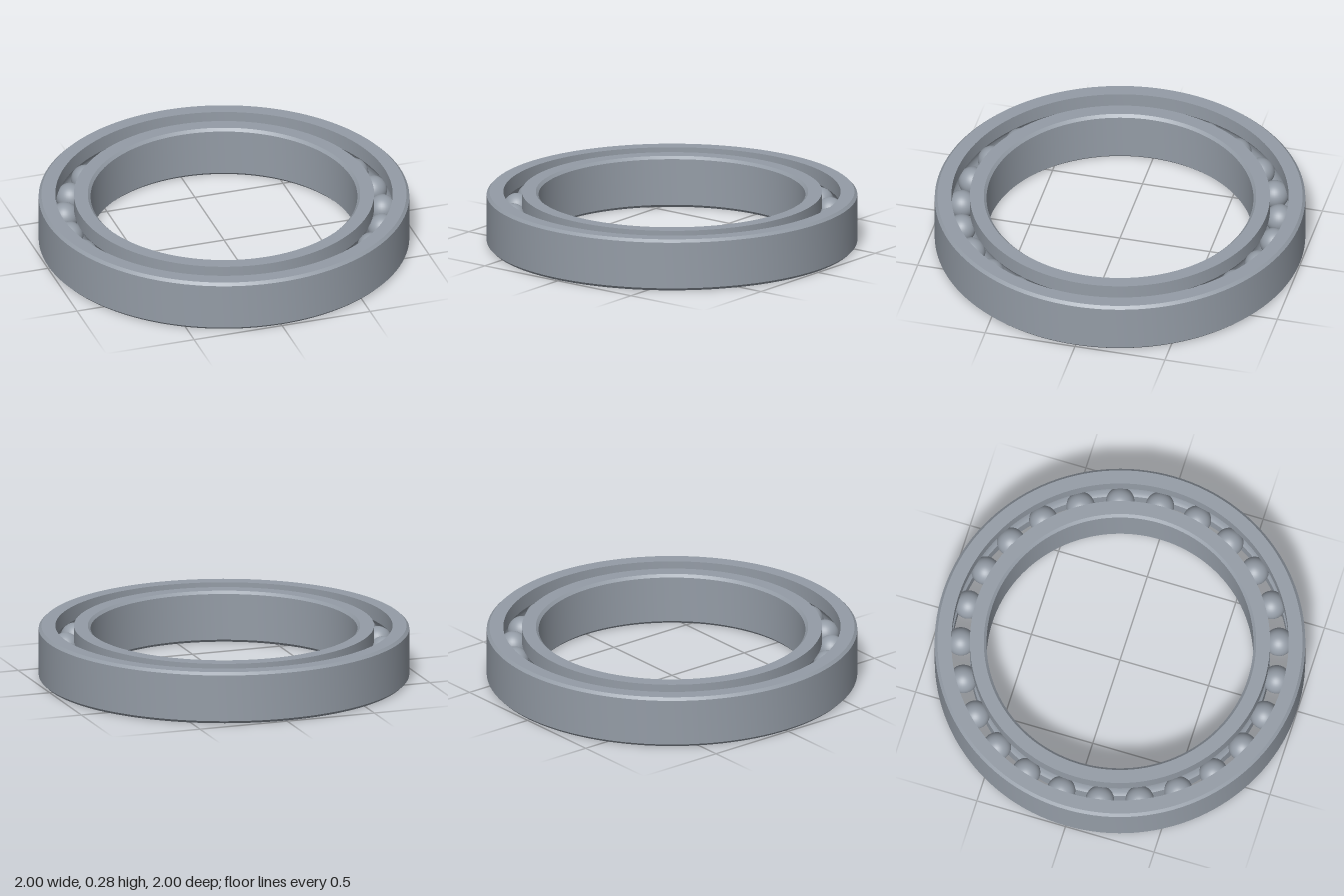
import * as THREE from 'three';
import { toCreasedNormals } from 'three/addons/utils/BufferGeometryUtils.js';

const HEIGHT = 0.285, MID = HEIGHT / 2, CHAMFER = 0.015;
const PITCH = 0.86, BALL = 0.077, GROOVE = 0.078, GAP = 0.05;
const BALL_COUNT = 25;

// Arc of the ball groove, centred on the pitch circle; side is +1 or -1 along the radius
function groovePoints(side) {
  const half = Math.acos(GAP / GROOVE), points = [];
  for (let i = 0; i <= 16; i++) {
    const a = half * (1 - i / 8);
    points.push([PITCH + side * GROOVE * Math.cos(a), MID + GROOVE * Math.sin(a) * side]);
  }
  return points;
}

// Turn a closed counter-clockwise profile into a ring with crisp edges
function ring(name, profile, material) {
  const points = [...profile, profile[0]].map(([r, y]) => new THREE.Vector2(r, y));
  const geometry = toCreasedNormals(new THREE.LatheGeometry(points, 128), Math.PI / 7);
  const mesh = new THREE.Mesh(geometry, material);
  mesh.name = name;
  return mesh;
}

export function createModel() {
  const group = new THREE.Group();
  group.name = 'ballBearing';
  const steel = new THREE.MeshStandardMaterial({ color: 0x949ca6 });
  steel.name = 'steel';

  // Outer race: chamfered outside, grooved inside
  group.add(ring('outerRace', [
    [PITCH + GAP, 0], [1 - CHAMFER, 0], [1, CHAMFER],
    [1, HEIGHT - CHAMFER], [1 - CHAMFER, HEIGHT], [PITCH + GAP, HEIGHT],
    ...groovePoints(1),
  ], steel));

  // Inner race: chamfered bore, grooved outside
  const bore = 0.72;
  group.add(ring('innerRace', [
    [PITCH - GAP, HEIGHT], [bore + CHAMFER, HEIGHT], [bore, HEIGHT - CHAMFER],
    [bore, CHAMFER], [bore + CHAMFER, 0], [PITCH - GAP, 0],
    ...groovePoints(-1),
  ], steel));

  // Balls evenly spaced around the pitch circle
  const balls = new THREE.Group();
  balls.name = 'balls';
  const ballGeometry = new THREE.SphereGeometry(BALL, 32, 20);
  for (let i = 0; i < BALL_COUNT; i++) {
    const a = (i / BALL_COUNT) * Math.PI * 2 + 0.017;
    const ball = new THREE.Mesh(ballGeometry, steel);
    ball.name = 'ball';
    ball.position.set(PITCH * Math.sin(a), MID, -PITCH * Math.cos(a));
    balls.add(ball);
  }
  group.add(balls);
  return group;
}
